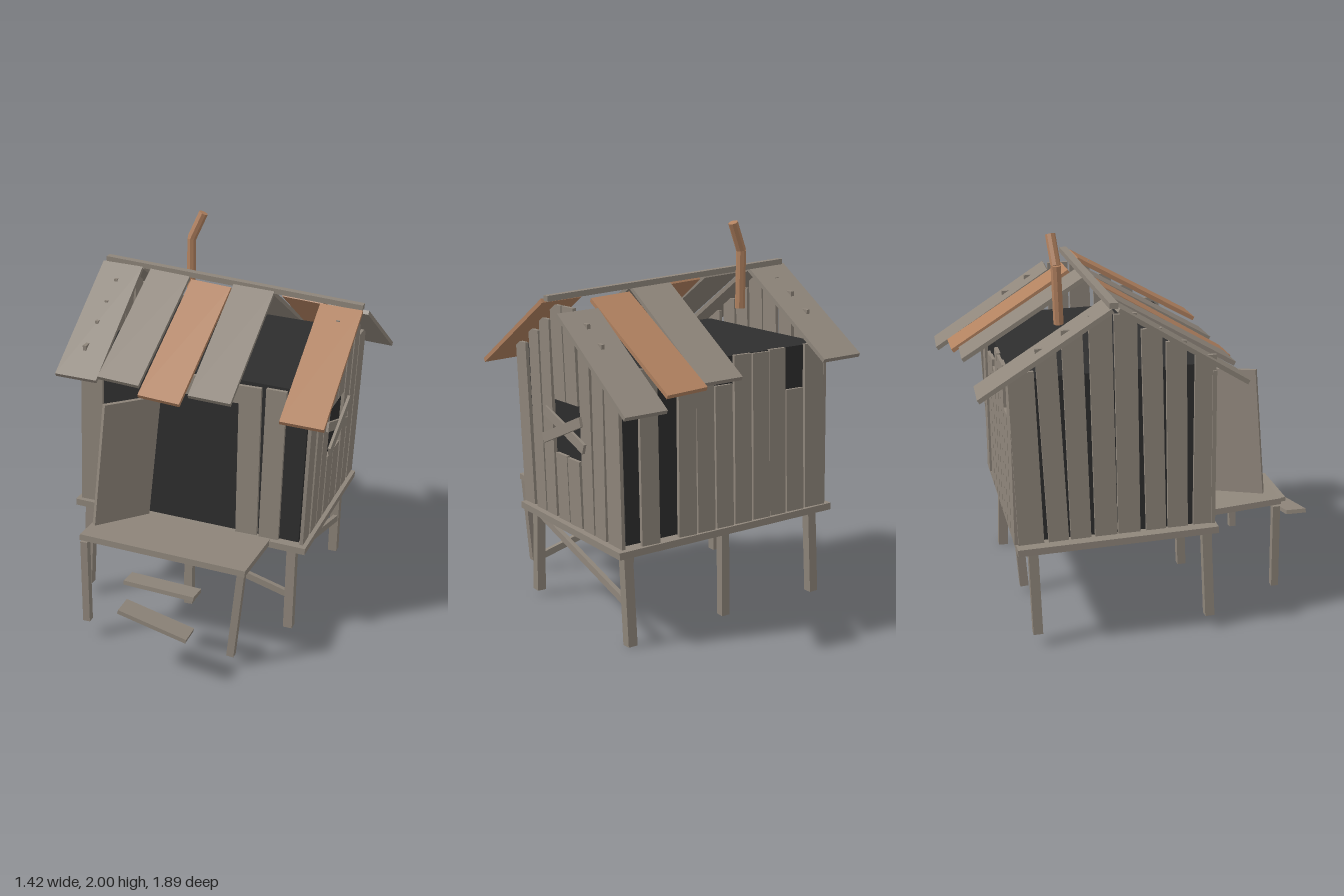
import * as THREE from 'three';

const wood = new THREE.MeshStandardMaterial({ color: 0x8f867b });
wood.name = 'weathered wood';
const rust = new THREE.MeshStandardMaterial({ color: 0xb28260 });
rust.name = 'rusty brown';
const dark = new THREE.MeshStandardMaterial({ color: 0x2e2e2e });
dark.name = 'dark interior';

// Box running from p to q; w is its size along the side direction, t its thickness
function beam(name, mat, p, q, w, t, side = [1, 0, 0]) {
  const a = new THREE.Vector3(...p), b = new THREE.Vector3(...q);
  const axis = b.clone().sub(a), len = axis.length();
  axis.normalize();
  const s = new THREE.Vector3(...side);
  s.addScaledVector(axis, -s.dot(axis)).normalize();
  const n = new THREE.Vector3().crossVectors(s, axis);
  const mesh = new THREE.Mesh(new THREE.BoxGeometry(w, len, t), mat);
  mesh.quaternion.setFromRotationMatrix(new THREE.Matrix4().makeBasis(s, axis, n));
  mesh.position.copy(a).add(b).multiplyScalar(0.5);
  mesh.name = name;
  return mesh;
}

const floorY = (x, z) => 0.55 - 0.05 * x + 0.025 * z;

export function createModel() {
  const model = new THREE.Group();
  model.name = 'stiltShack';
  const group = (name) => {
    const g = new THREE.Group();
    g.name = name;
    model.add(g);
    return g;
  };

  // Sagging floor, porch deck and dark core behind the planks
  model.add(beam('floor', wood, [-0.055, 0.533, 0.31], [-0.055, 0.508, -0.69], 1.27, 0.035, [1, -0.05, 0]));
  model.add(beam('porchDeck', wood, [-0.05, 0.568, 0.695], [-0.05, 0.538, 0.3], 0.88, 0.032, [1, -0.046, 0]));
  model.add(beam('interior', dark, [-0.045, 0.55, -0.2], [-0.01, 1.38, -0.21], 1.16, 0.95, [1, 0, 0]));

  // Crooked stilts: top, bottom, width
  const legs = group('legs');
  [
    [[-0.62, 0.56, 0.26], [-0.645, 0.07, 0.28], 0.048],
    [[-0.06, 0.53, 0.26], [-0.06, 0.06, 0.28], 0.045],
    [[0.5, 0.51, 0.26], [0.495, 0.03, 0.28], 0.048],
    [[-0.61, 0.54, -0.61], [-0.645, 0.07, -0.6], 0.048],
    [[-0.06, 0.51, -0.62], [-0.09, 0.04, -0.59], 0.045],
    [[0.5, 0.49, -0.61], [0.485, 0.003, -0.63], 0.05],
    [[-0.47, 0.56, 0.672], [-0.47, 0.1, 0.68], 0.038],
    [[0.365, 0.53, 0.672], [0.315, 0.06, 0.68], 0.038],
  ].forEach(([p, q, w]) => legs.add(beam('leg', wood, p, q, w, w)));

  // Diagonal braces
  model.add(beam('frontBrace', wood, [-0.6, 0.55, 0.27], [0.49, 0.215, 0.27], 0.035, 0.025, [0, 1, 0]));
  model.add(beam('sideBrace', wood, [0.5, 0.46, 0.25], [0.5, 0.22, -0.61], 0.035, 0.025, [0, 1, 0]));

  // Loose steps
  model.add(beam('upperStep', wood, [-0.2, 0.447, 0.765], [0.168, 0.425, 0.765], 0.11, 0.022, [0, 0.12, 1]));
  model.add(beam('lowerStep', wood, [-0.18, 0.362, 0.89], [0.175, 0.268, 0.89], 0.11, 0.022, [0, 0, 1]));

  // Door hanging open
  model.add(beam('door', wood, [-0.355, 0.607, 0.475], [-0.295, 1.262, 0.433], 0.33, 0.022, [0.19, -0.04, -0.28]));

  // Side wall planks: [bottom z, top z, width, top y, bottom y]
  const sidePlanks = [
    [0.24, 0.245, 0.105, 1.38], [0.11, 0.1, 0.1, 1.46], [0, -0.02, 0.1, 1.53],
    [-0.375, -0.4, 0.1, 1.55], [-0.485, -0.525, 0.1, 1.47], [-0.62, -0.645, 0.125, 1.36],
  ];
  const windowPlanks = [
    [-0.13, -0.13, 0.11, 0.86], [-0.25, -0.25, 0.115, 0.855],
    [-0.145, -0.145, 0.11, 1.61, 1.135], [-0.265, -0.265, 0.11, 1.61, 1.135],
  ];
  const solidPlanks = [[-0.135, -0.145, 0.11, 1.61], [-0.25, -0.265, 0.11, 1.61]];
  const sideWall = (name, x0, lean, rows, lift) => {
    const g = group(name);
    const xAt = (y) => x0 + lean * (y - 0.55);
    rows.forEach(([z0, z1, w, top, bottom]) => {
      const y0 = bottom ?? floorY(x0, z0), y1 = top + (bottom || top > 1 ? lift : 0);
      g.add(beam('sidePlank', wood, [xAt(y0), y0, z0], [xAt(y1), y1, z1], w, 0.018, [0, 0, 1]));
    });
  };
  sideWall('leftWall', 0.555, 0.045, [...sidePlanks, ...windowPlanks], 0);
  sideWall('rightWall', -0.645, 0.04, [...sidePlanks, ...solidPlanks], 0.08);

  // Crossed boards nailed over the window
  model.add(beam('windowBoard', wood, [0.592, 1.065, 0], [0.592, 0.935, -0.385], 0.05, 0.015, [0, 1, 0]));
  model.add(beam('windowBoard', wood, [0.606, 0.925, -0.005], [0.606, 1.07, -0.38], 0.05, 0.015, [0, 1, 0]));

  // Front and back wall planks: [bottom x, top x, width, top y, bottom y]
  const flatWall = (name, z, rows) => {
    const g = group(name);
    rows.forEach(([x0, x1, w, top, bottom]) =>
      g.add(beam('plank', wood, [x0, bottom ?? floorY(x0, z), z], [x1, top, z], w, 0.02)));
  };
  flatWall('frontWall', 0.288, [
    [-0.6, -0.57, 0.118, 1.38], [-0.5, -0.46, 0.085, 1.13],
    [0.26, 0.275, 0.115, 1.36], [0.38, 0.41, 0.105, 1.36],
    [-0.14, -0.14, 0.1, 1.38, 1.29], [-0.03, -0.03, 0.1, 1.38, 1.275],
    [0.065, 0.065, 0.08, 1.37, 1.28], [0.165, 0.165, 0.11, 1.36, 1.265],
  ]);
  flatWall('backWall', -0.69, [
    [0.41, 0.43, 0.1, 1.36], [0.2, 0.21, 0.1, 1.25], [0.09, 0.11, 0.1, 1.27],
    [-0.02, 0, 0.1, 1.24], [-0.13, -0.11, 0.1, 1.38], [-0.24, -0.22, 0.1, 1.38],
    [-0.34, -0.32, 0.095, 1.39], [-0.45, -0.43, 0.105, 1.18], [-0.575, -0.55, 0.125, 1.4],
  ]);

  // Roof boards from ridge to eave, some missing
  const roof = group('roof');
  const slant = [1, -0.079, 0];
  [
    [wood, [-0.6, 1.735, -0.2], [-0.6, 1.335, 0.43]],
    [wood, [-0.335, 1.715, -0.2], [-0.37, 1.345, 0.43]],
    [rust, [-0.1, 1.69, -0.18], [-0.14, 1.295, 0.47]],
    [wood, [0.125, 1.685, -0.2], [0.11, 1.315, 0.43]],
    [rust, [0.595, 1.645, -0.18], [0.59, 1.268, 0.47]],
    [wood, [-0.6, 1.735, -0.22], [-0.6, 1.34, -0.85]],
    [wood, [0.115, 1.68, -0.22], [0.115, 1.29, -0.85]],
    [rust, [0.37, 1.645, -0.26], [0.335, 1.265, -0.885]],
    [wood, [0.592, 1.59, -0.33], [0.592, 1.197, -0.94]],
  ].forEach(([mat, p, q]) => roof.add(beam('roofBoard', mat, p, q, 0.22, 0.022, slant)));
  roof.add(beam('ridgeBeam', wood, [-0.695, 1.76, -0.217], [0.7, 1.652, -0.217], 0.04, 0.028, [0, 0, 1]));

  // Bent stove pipe
  const pipe = group('chimney');
  const bends = [[-0.3, 1.56, -0.41], [-0.297, 1.85, -0.418], [-0.235, 1.99, -0.432]]
    .map((p) => new THREE.Vector3(...p));
  for (let i = 0; i < 2; i++) {
    const dir = bends[i + 1].clone().sub(bends[i]);
    const geo = new THREE.CylinderGeometry(0.025, 0.025, dir.length(), 8).toNonIndexed();
    geo.computeVertexNormals();
    const mesh = new THREE.Mesh(geo, rust);
    mesh.quaternion.setFromUnitVectors(new THREE.Vector3(0, 1, 0), dir.normalize());
    mesh.position.copy(bends[i]).add(bends[i + 1]).multiplyScalar(0.5);
    mesh.name = 'chimneySection';
    pipe.add(mesh);
  }
  return model;
}
